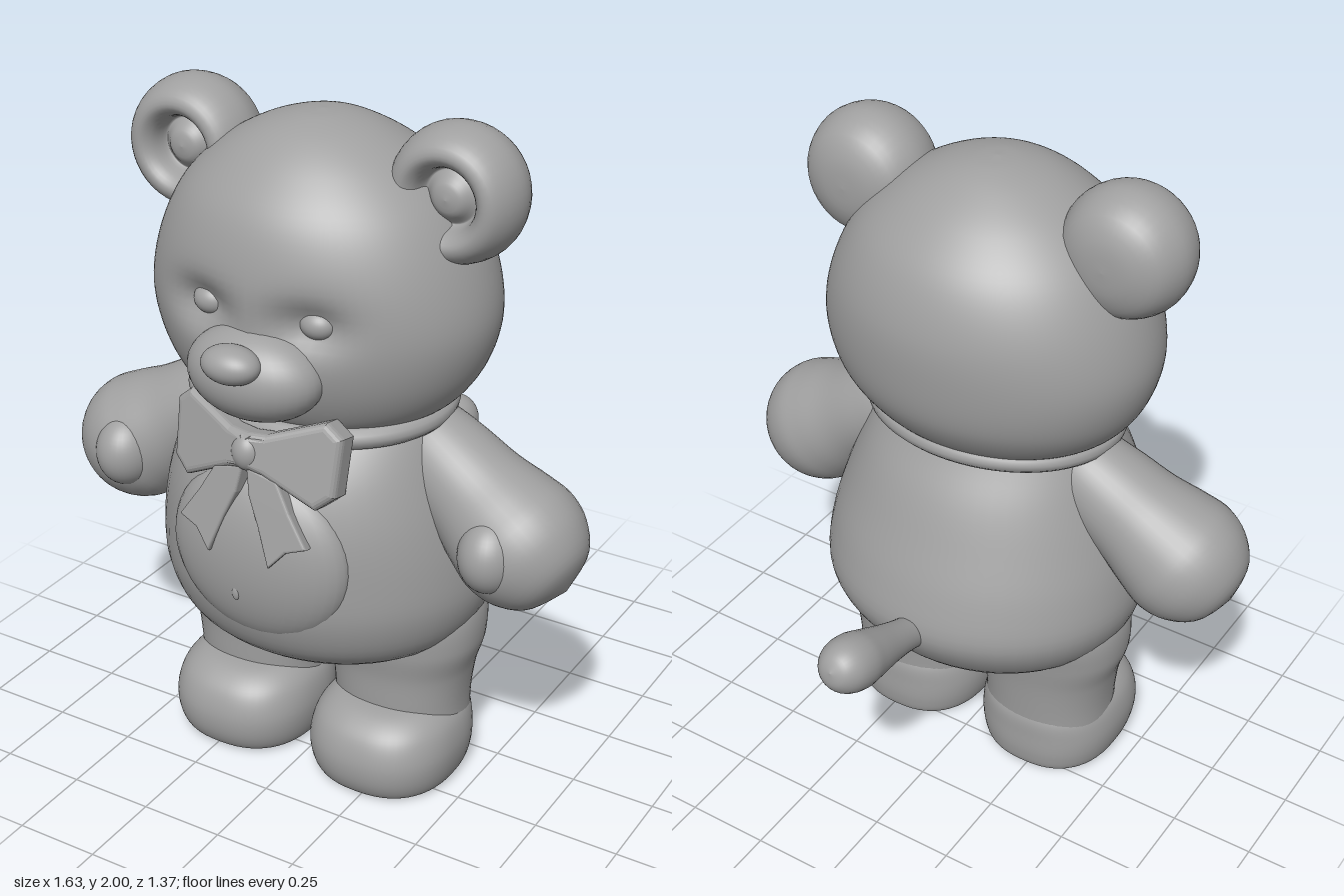
import * as THREE from 'three';

const grey = new THREE.MeshStandardMaterial({ color: 0xa0a0a0 });
grey.name = 'plain grey';

// Smooth closed skin through horizontal sections [y, halfWidth, zFront, zBack].
function loft(sections, { power = 2, rings = 40, sides = 56 } = {}) {
  const ends = [0, 1].map(k => new THREE.CatmullRomCurve3(
    sections.map(s => new THREE.Vector3(s[1], s[0], s[2 + k])), false, 'centripetal'));
  const pos = [], index = [];
  for (let i = 0; i <= rings; i++) {
    const f = ends[0].getPoint(i / rings), b = ends[1].getPoint(i / rings);
    for (let j = 0; j < sides; j++) {
      const a = (j / sides) * Math.PI * 2, c = Math.cos(a), s = Math.sin(a);
      const bend = v => Math.sign(v) * Math.abs(v) ** (2 / power);
      pos.push(f.x * bend(c), (f.y + b.y) / 2, (f.z + b.z) / 2 + (f.z - b.z) / 2 * bend(s));
    }
  }
  for (let i = 0; i < rings; i++) for (let j = 0; j < sides; j++) {
    const n = (j + 1) % sides, p = i * sides, q = p + sides;
    index.push(p + j, q + j, p + n, p + n, q + j, q + n);
  }
  const first = sections[0], last = sections[sections.length - 1], base = pos.length / 3;
  pos.push(0, first[0], (first[2] + first[3]) / 2, 0, last[0], (last[2] + last[3]) / 2);
  const top = rings * sides;
  for (let j = 0; j < sides; j++) {
    const n = (j + 1) % sides;
    index.push(base, j, n, base + 1, top + n, top + j);
  }
  const g = new THREE.BufferGeometry();
  g.setAttribute('position', new THREE.Float32BufferAttribute(pos, 3));
  g.setIndex(index);
  g.computeVertexNormals();
  return g;
}

// Turned shape through [radius, height] points, listed from bottom to top.
function turned(points, sides = 40) {
  const curve = new THREE.SplineCurve(points.map(p => new THREE.Vector2(...p)));
  const smooth = curve.getPoints(40).map(p => new THREE.Vector2(Math.max(0, p.x), p.y));
  return new THREE.LatheGeometry(smooth, sides);
}

function plate(points, depth, bevel) {
  const shape = new THREE.Shape(points.map(p => new THREE.Vector2(...p)));
  return new THREE.ExtrudeGeometry(shape, {
    depth, bevelThickness: bevel, bevelSize: bevel, bevelSegments: 4
  });
}

export function createModel() {
  const model = new THREE.Group();
  model.name = 'teddyBear';

  function add(name, geometry, x = 0, y = 0, z = 0, parent = model) {
    const mesh = new THREE.Mesh(geometry, grey);
    mesh.name = name;
    mesh.position.set(x, y, z);
    parent.add(mesh);
    return mesh;
  }
  function ball(name, x, y, z, rx, ry, rz) {
    const mesh = add(name, new THREE.SphereGeometry(1, 36, 24), x, y, z);
    mesh.scale.set(rx, ry, rz);
    return mesh;
  }
  // Point a turned part's axis along a direction.
  function aim(mesh, x, y, z) {
    mesh.quaternion.setFromUnitVectors(new THREE.Vector3(0, 1, 0), new THREE.Vector3(x, y, z).normalize());
  }

  // Head with shallow eye sockets
  const head = loft([
    [1.14, 0.26, 0.38, -0.06], [1.17, 0.34, 0.44, -0.11], [1.22, 0.41, 0.48, -0.165],
    [1.32, 0.475, 0.52, -0.225], [1.45, 0.505, 0.54, -0.25], [1.6, 0.475, 0.54, -0.25],
    [1.75, 0.4, 0.5, -0.2], [1.86, 0.29, 0.415, -0.105], [1.93, 0.17, 0.32, 0],
    [1.96, 0.07, 0.23, 0.08], [1.967, 0.005, 0.16, 0.15]
  ], { rings: 64, sides: 96 });
  const p = head.attributes.position;
  for (let i = 0; i < p.count; i++) {
    if (p.getZ(i) < 0.2) continue;
    const dx = (Math.abs(p.getX(i)) - 0.16) / 0.1, dy = (p.getY(i) - 1.5) / 0.065;
    p.setZ(i, p.getZ(i) - 0.055 * Math.exp(-dx * dx - dy * dy));
  }
  head.computeVertexNormals();
  add('head', head);
  ball('snout', 0, 1.345, 0.5, 0.2, 0.13, 0.135);
  ball('nose', 0, 1.41, 0.615, 0.085, 0.052, 0.063);

  // Torso, belly patch and navel
  add('torso', loft([
    [0.34, 0.03, 0.2, 0.02], [0.36, 0.17, 0.28, -0.06], [0.41, 0.32, 0.4, -0.16],
    [0.5, 0.445, 0.515, -0.26], [0.62, 0.495, 0.565, -0.322], [0.75, 0.49, 0.575, -0.3],
    [0.9, 0.455, 0.57, -0.245], [1.03, 0.41, 0.535, -0.19], [1.13, 0.37, 0.47, -0.13],
    [1.2, 0.33, 0.4, -0.09]
  ]));
  ball('bellyPatch', 0, 0.8, 0.49, 0.28, 0.265, 0.115);
  ball('navel', -0.02, 0.71, 0.594, 0.012, 0.022, 0.008);

  // Tail
  const tail = add('tail', turned([
    [0.055, -0.1], [0.05, 0.02], [0.058, 0.12], [0.075, 0.23], [0.084, 0.3],
    [0.075, 0.36], [0.045, 0.4], [0, 0.415]
  ], 28), 0, 0.62, -0.3);
  aim(tail, 0, 0.13, -0.37);

  for (const side of [1, -1]) {
    const label = side > 0 ? 'left' : 'right';
    ball(label + 'Eye', side * 0.165, 1.5, 0.452, 0.052, 0.042, 0.045);

    // Ear: rounded back, thick rim, dished front with a raised middle
    const ear = add(label + 'Ear', turned([
      [0, -0.13], [0.08, -0.122], [0.15, -0.085], [0.186, -0.01], [0.182, 0.06],
      [0.155, 0.115], [0.12, 0.13], [0.092, 0.105], [0.078, 0.06], [0.066, 0.062],
      [0.04, 0.088], [0, 0.097]
    ]), side * 0.407, 1.81, 0.135);
    ear.rotation.x = Math.PI / 2;

    // Arm ending in a round paw
    const arm = add(label + 'Arm', turned([
      [0, -0.12], [0.08, -0.08], [0.12, 0], [0.14, 0.1], [0.155, 0.22], [0.178, 0.32],
      [0.19, 0.4], [0.17, 0.48], [0.11, 0.55], [0, 0.583]
    ]), side * 0.3, 1.08, 0.135);
    aim(arm, side * 0.32, -0.22, 0.035);
    ball(label + 'PawPad', side * 0.6, 0.865, 0.285, 0.09, 0.11, 0.11);

    // Leg and foot
    add(label + 'Leg', loft([
      [0.12, 0.2, 0.28, -0.05], [0.25, 0.202, 0.29, -0.06], [0.35, 0.215, 0.295, -0.07],
      [0.45, 0.242, 0.31, -0.085], [0.56, 0.235, 0.31, -0.1], [0.66, 0.17, 0.24, -0.06]
    ], { power: 2.2 }), side * 0.238);
    add(label + 'Foot', loft([
      [0, 0.17, 0.355, -0.02], [0.012, 0.2, 0.39, -0.048], [0.06, 0.218, 0.415, -0.06],
      [0.13, 0.223, 0.42, -0.062], [0.2, 0.205, 0.395, -0.058], [0.245, 0.16, 0.34, -0.03],
      [0.262, 0.08, 0.25, 0.04]
    ], { power: 2.4 }), side * 0.237);

    // Bow wing, swept back towards its outer end
    const wing = plate([
      [0, 1.1], [0.06, 1.09], [0.2, 1.025], [0.235, 1.055], [0.24, 1.2], [0.21, 1.225],
      [0.06, 1.165], [0, 1.16]
    ].map(([x, y]) => [x * side, y - 1.13]), 0.04, 0.02);
    const w = wing.attributes.position;
    for (let i = 0; i < w.count; i++) w.setZ(i, w.getZ(i) - 0.25 * Math.abs(w.getX(i)));
    wing.computeVertexNormals();
    add(label + 'BowWing', wing, 0, 1.13, 0.52).rotation.x = -0.2;

    // Hanging ribbon end with a pointed tip
    const ribbon = add(label + 'RibbonEnd', plate([
      [0.01, 0], [0.09, -0.02], [0.135, -0.1], [0.19, -0.18], [0.135, -0.2], [0.095, -0.25],
      [0.06, -0.15], [0.025, -0.07]
    ].map(([x, y]) => [x * side, y]), 0.03, 0.008), 0, 1.08, 0.535);
    ribbon.rotation.set(-0.2, side * 0.1, 0);
  }

  // Collar and bow knot
  const loop = [];
  for (let i = 0; i < 24; i++) {
    const a = (i / 24) * Math.PI * 2;
    loop.push(new THREE.Vector3(0.365 * Math.cos(a), 1.172 - 0.012 * Math.sin(a), 0.165 + 0.295 * Math.sin(a)));
  }
  add('collar', new THREE.TubeGeometry(new THREE.CatmullRomCurve3(loop, true), 80, 0.032, 12, true));
  ball('bowKnot', 0, 1.13, 0.545, 0.046, 0.055, 0.045);

  return model;
}
